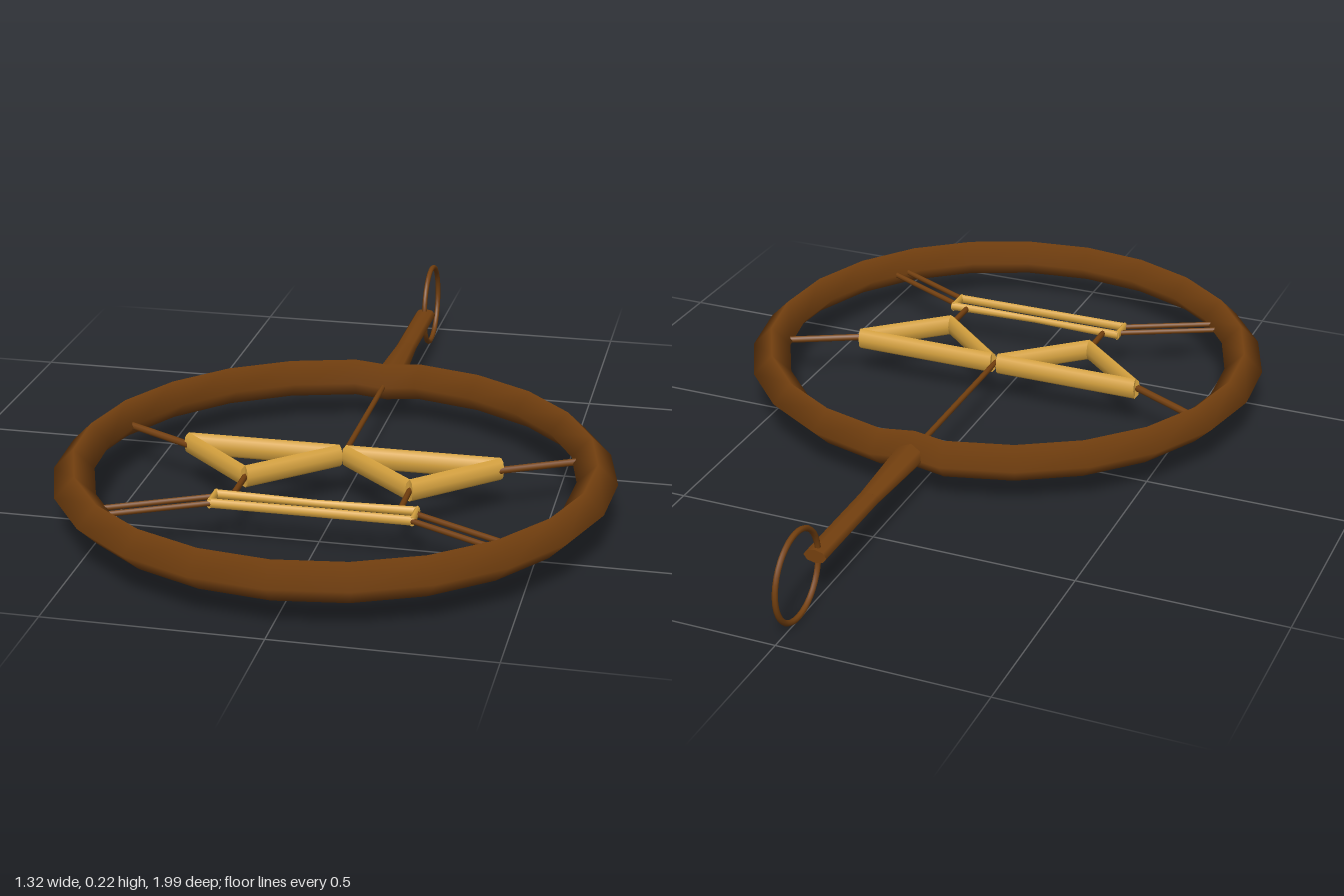
import * as THREE from 'three';

const Y = 0.115; // height of the plane everything lies in
const brown = new THREE.MeshStandardMaterial({ color: 0x74400f });
const gold = new THREE.MeshStandardMaterial({ color: 0xdaa540 });

export function createModel() {
  const model = new THREE.Group();

  const add = (name, geometry, material) => {
    const mesh = new THREE.Mesh(geometry, material);
    mesh.name = name;
    model.add(mesh);
    return mesh;
  };

  // Bar between two [x, z] points: w is its half width, h its half height
  const bar = (name, a, b, w, h, material, wEnd = w, sides = 8) => {
    const dx = b[0] - a[0], dz = b[1] - a[1];
    const geometry = new THREE.CylinderGeometry(wEnd, w, Math.hypot(dx, dz), sides);
    geometry.rotateX(Math.PI / 2); // axis now along +z, start at -z
    geometry.scale(1, h / w, 1);
    geometry.rotateY(Math.atan2(dx, dz));
    geometry.translate((a[0] + b[0]) / 2, Y, (a[1] + b[1]) / 2);
    return add(name, geometry, material);
  };

  // Hoop: diamond section, pinched inwards where the handle joins
  const segments = 24;
  const hoop = new THREE.TorusGeometry(0.613, 0.048, 4, segments);
  const p = hoop.attributes.position;
  for (let i = 0; i < p.count; i++) {
    const k = i % (segments + 1);
    const joint = k === 0 || k === segments;
    const angle = joint ? 0 : (2 * Math.PI * (k - 0.5)) / (segments - 1);
    const r = Math.hypot(p.getX(i), p.getY(i)) - (joint ? 0.025 : 0);
    p.setXY(i, r * Math.cos(angle), r * Math.sin(angle));
  }
  hoop.rotateZ(-Math.PI / 2);
  hoop.rotateX(Math.PI / 2);
  hoop.translate(0, Y, 0.332);
  add('hoop', hoop, brown);

  // Handle: flared root, then a straight grip
  bar('handleRoot', [0, -0.27], [0, -0.52], 0.042, 0.025, brown, 0.028);
  bar('handleGrip', [0, -0.52], [0, -0.8], 0.028, 0.0165, brown);

  // Hanging ring, upright in the plane x = 0
  const loop = new THREE.TorusGeometry(0.105, 0.007, 8, 40);
  loop.rotateY(Math.PI / 2);
  loop.translate(0, Y, -0.888);
  add('hangingRing', loop, brown);

  // Long rod from the hoop to the middle of the frame
  bar('centreRod', [0, -0.28], [0, 0.26], 0.007, 0.007, brown);

  for (const s of [1, -1]) {
    const side = s > 0 ? 'left' : 'right';

    // Triangle frame
    const corners = [[s * 0.008, 0.25], [s * 0.38, 0.25], [s * 0.195, 0.42]];
    corners.forEach((c, i) =>
      bar(side + 'TriangleBar', c, corners[(i + 1) % 3], 0.014, 0.028, gold));

    // Rods holding the triangle
    bar(side + 'UpperRod', [s * 0.375, 0.262], [s * 0.58, 0.153], 0.009, 0.009, brown);
    bar(side + 'ShortRod', [s * 0.195, 0.42], [s * 0.195, 0.535], 0.007, 0.008, brown);

    // Slot frame half: the back bar dips slightly at the middle
    bar(side + 'SlotBackBar', [s * 0.237, 0.532], [0, 0.537], 0.009, 0.012, gold, 0.007);
    bar(side + 'SlotFrontBar', [s * 0.237, 0.585], [0, 0.585], 0.007, 0.012, gold);
    bar(side + 'SlotEnd', [s * 0.234, 0.527], [s * 0.234, 0.59], 0.007, 0.012, gold);

    // Pair of rods holding the slot frame
    bar(side + 'LowerRod', [s * 0.232, 0.545], [s * 0.5, 0.682], 0.007, 0.007, brown);
    bar(side + 'LowerRod', [s * 0.232, 0.585], [s * 0.48, 0.712], 0.007, 0.007, brown);
  }

  return model;
}
